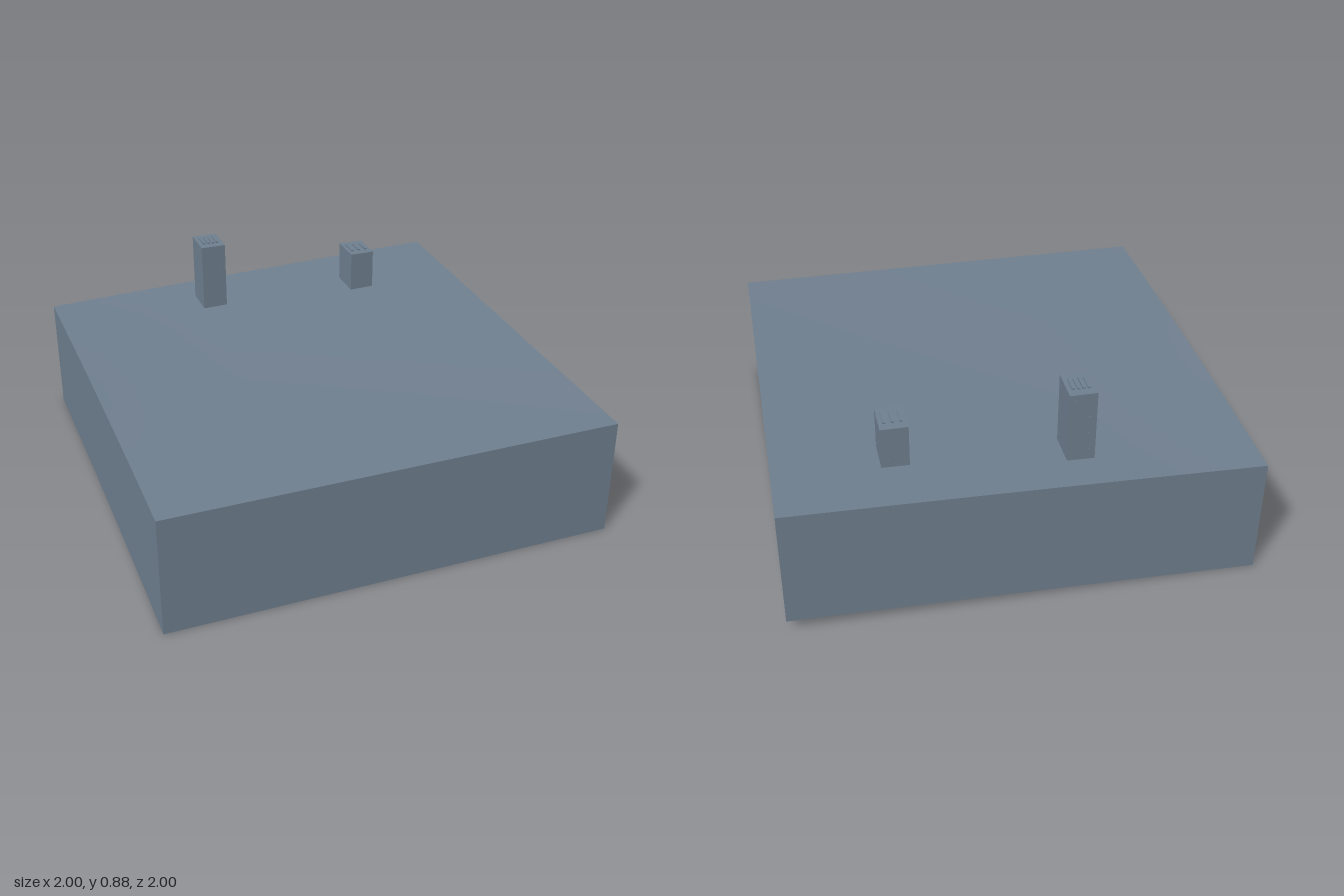
import * as THREE from 'three';

const DEPTH = 0.535;

// gentle slope: low along the front, rising to the back left corner, with a soft swell on the right edge
function ground(x, z) {
  const u = (x + 1) / 2, v = (1 - z) / 2;
  const swell = Math.max(0, 1 - u / 0.3) ** 2 * 4 * v * (1 - v);
  return DEPTH + 0.002 + 0.058 * u * v + 0.01 * u * (1 - u) * v + 0.015 * swell;
}

// lift every vertex by the slope, keeping its offset below the surface
function drape(geo) {
  const p = geo.attributes.position;
  for (let i = 0; i < p.count; i++) p.setY(i, p.getY(i) + ground(p.getX(i), p.getZ(i)));
  geo.computeVertexNormals();
  return geo;
}

export function createModel() {
  const slate = new THREE.MeshStandardMaterial({ color: 0x708090, side: THREE.DoubleSide });
  slate.name = 'slate';
  const model = new THREE.Group();
  model.name = 'terrainTile';

  const add = (parent, geo, name, x = 0, y = 0, z = 0) => {
    const mesh = new THREE.Mesh(geo, slate);
    mesh.name = name;
    mesh.position.set(x, y, z);
    parent.add(mesh);
    return mesh;
  };

  // ground sheet
  add(model, drape(new THREE.PlaneGeometry(2, 2, 32, 32).rotateX(-Math.PI / 2)), 'ground');

  // skirt walls hang a constant depth below the sheet; the underside is open
  ['frontSkirt', 'leftSkirt', 'backSkirt', 'rightSkirt'].forEach((name, i) => {
    const wall = new THREE.PlaneGeometry(2, DEPTH, 32, 1)
      .translate(0, -DEPTH / 2, 1).rotateY(i * Math.PI / 2);
    add(model, drape(wall), name);
  });

  // tower block with small window plates and rooftop strips
  function tower(name, x, z, top, columns, spread, stripZ) {
    const w = 0.117, d = 0.158;
    const base = ground(x, z) - 0.004, h = top - base;
    const g = new THREE.Group();
    g.name = name;
    g.position.set(x, base, z);
    model.add(g);
    add(g, new THREE.BoxGeometry(w, h, d), 'block', 0, h / 2, 0);

    for (let i = 0; i < columns; i++) {
      const px = (i / (columns - 1) - 0.5) * spread;
      add(g, new THREE.BoxGeometry(0.012, 0.007, 0.078), 'roofStrip', px, h + 0.0035, stripZ);
    }

    const rows = Math.round(h / 0.075);
    for (let r = 0; r < rows; r++) {
      const y = (r + 0.6) * h / rows;
      for (const side of [-1, 1]) for (const s of [-1, 1]) {
        add(g, new THREE.BoxGeometry(0.008, 0.01, 0.002), 'window', s * 0.03, y, side * d / 2);
        add(g, new THREE.BoxGeometry(0.002, 0.01, 0.008), 'window', side * w / 2, y, s * 0.04);
      }
    }
  }

  tower('tallTower', -0.253, -0.75, 0.877, 4, 0.066, 0);
  tower('shortTower', 0.498, -0.667, 0.763, 3, 0.07, 0);

  return model;
}
